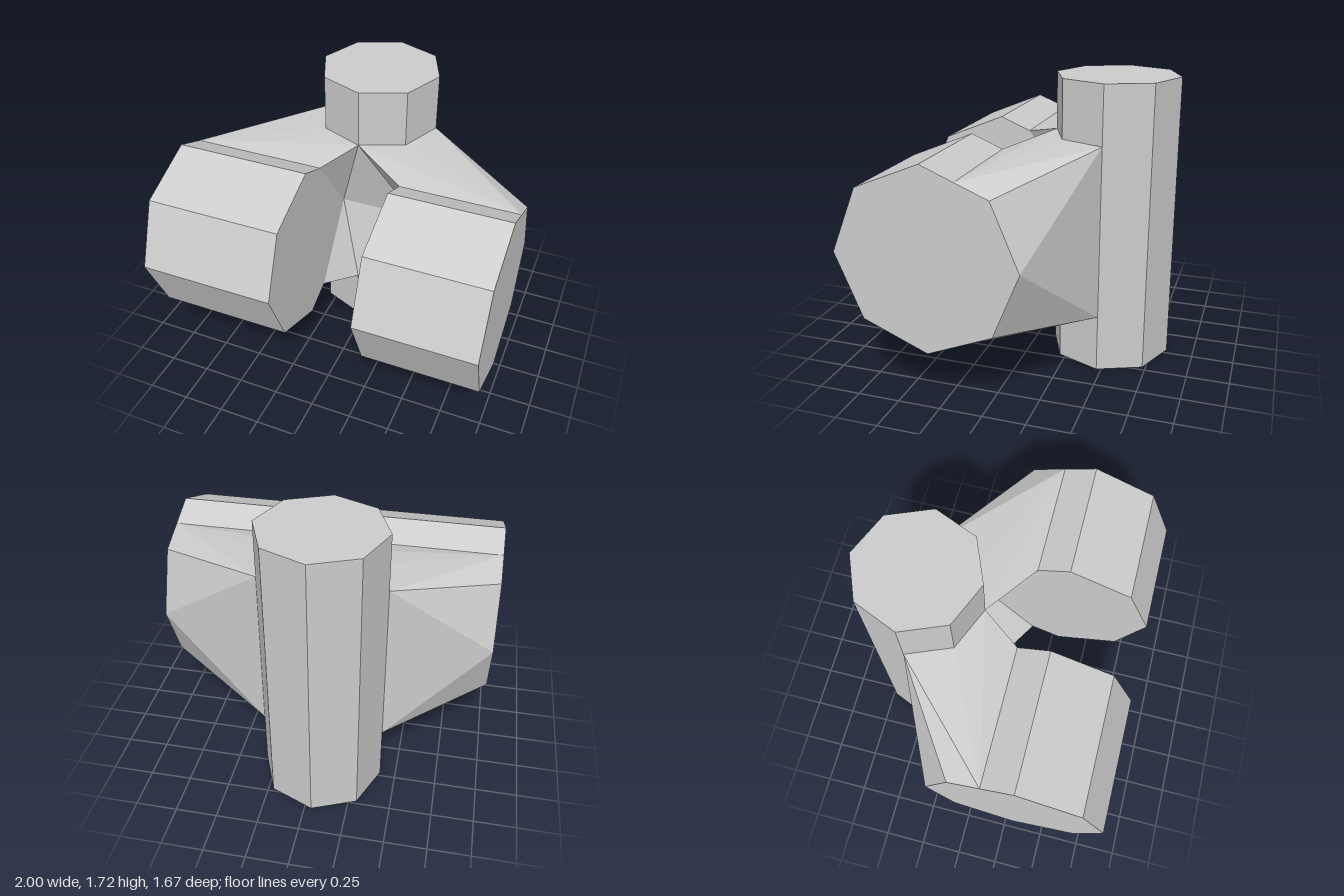
import * as THREE from 'three';

const MID = 0.86;               // height of the horizontal mirror plane
const PX = -0.04, PZ = -0.472, PR = 0.366;  // post axis and radius
const DZ = 0.305, DR = 0.53;    // drum axis and radius
const JOINT = 0.515;            // half height of the bridge at the post
const C = Math.SQRT1_2;

const material = new THREE.MeshStandardMaterial({ color: 0xcccccc, flatShading: true });

function add(parent, name, geometry, x = 0, y = 0, z = 0) {
  const mesh = new THREE.Mesh(geometry, material);
  mesh.name = name;
  mesh.position.set(x, y, z);
  parent.add(mesh);
  return mesh;
}

// Triangles of an upper half, repeated mirrored below the middle plane
function mirroredFacets(triangles, flip = false) {
  const positions = [];
  for (const sy of [1, -1]) {
    for (const [a, b, c] of triangles) {
      const order = (sy < 0) !== flip ? [a, c, b] : [a, b, c];
      for (const [x, y, z] of order) positions.push(x, MID + sy * y, z);
    }
  }
  const geometry = new THREE.BufferGeometry();
  geometry.setAttribute('position', new THREE.Float32BufferAttribute(positions, 3));
  geometry.computeVertexNormals();
  return geometry;
}

export function createModel() {
  const model = new THREE.Group();
  model.name = 'twinDrumJoint';

  // Octagonal post: full ends, and only the rear half between the bridges
  const endHeight = MID - JOINT;
  const end = new THREE.CylinderGeometry(PR, PR, endHeight, 8);
  add(model, 'postBottom', end, PX, endHeight / 2, PZ);
  add(model, 'postTop', end, PX, 2 * MID - endHeight / 2, PZ);
  add(model, 'postBack',
    new THREE.CylinderGeometry(PR, PR, 2 * JOINT, 4, 1, true, Math.PI / 2, Math.PI),
    PX, MID, PZ);

  // Heights are measured from the middle plane
  const front = [PX, JOINT, PZ + PR];
  const backZ = DZ - DR;
  const sides = [
    { name: 'left', s: 1, inner: 0.3, outer: 1 },
    { name: 'right', s: -1, inner: -0.19, outer: -1 },
  ];

  for (const { name, s, inner, outer } of sides) {
    // Octagonal drum lying along x
    const drum = add(model, name + 'Drum',
      new THREE.CylinderGeometry(DR, DR, Math.abs(outer - inner), 8),
      (inner + outer) / 2, MID, DZ);
    drum.rotation.z = Math.PI / 2;

    // Faceted bridge from the post to the back of the drum
    const corner = [PX + s * PR * C, JOINT, PZ + PR * C];
    const side = [PX + s * PR, JOINT, PZ];
    const sideMid = [side[0], 0, PZ];
    const seamY = DR * (1 + C) / 2, seamZ = DZ - DR * C / 2;
    const seamIn = [inner, seamY, seamZ];
    const seamOut = [outer, seamY, seamZ];
    const shoulder = [outer, DR * C, DZ - DR * C];
    const tipOut = [outer, 0, backZ];
    const tipIn = [inner, 0, backZ];
    add(model, name + 'Bridge', mirroredFacets([
      [front, seamIn, seamOut],
      [front, seamOut, corner],
      [corner, seamOut, side],
      [side, seamOut, shoulder],
      [side, shoulder, tipOut],
      [side, tipOut, sideMid],
      [front, tipIn, seamIn],
    ], s < 0));
  }

  // Recessed notch between the two bridges
  add(model, 'frontNotch', mirroredFacets([
    [front, [sides[1].inner, 0, backZ], [sides[0].inner, 0, backZ]],
  ]));

  return model;
}
